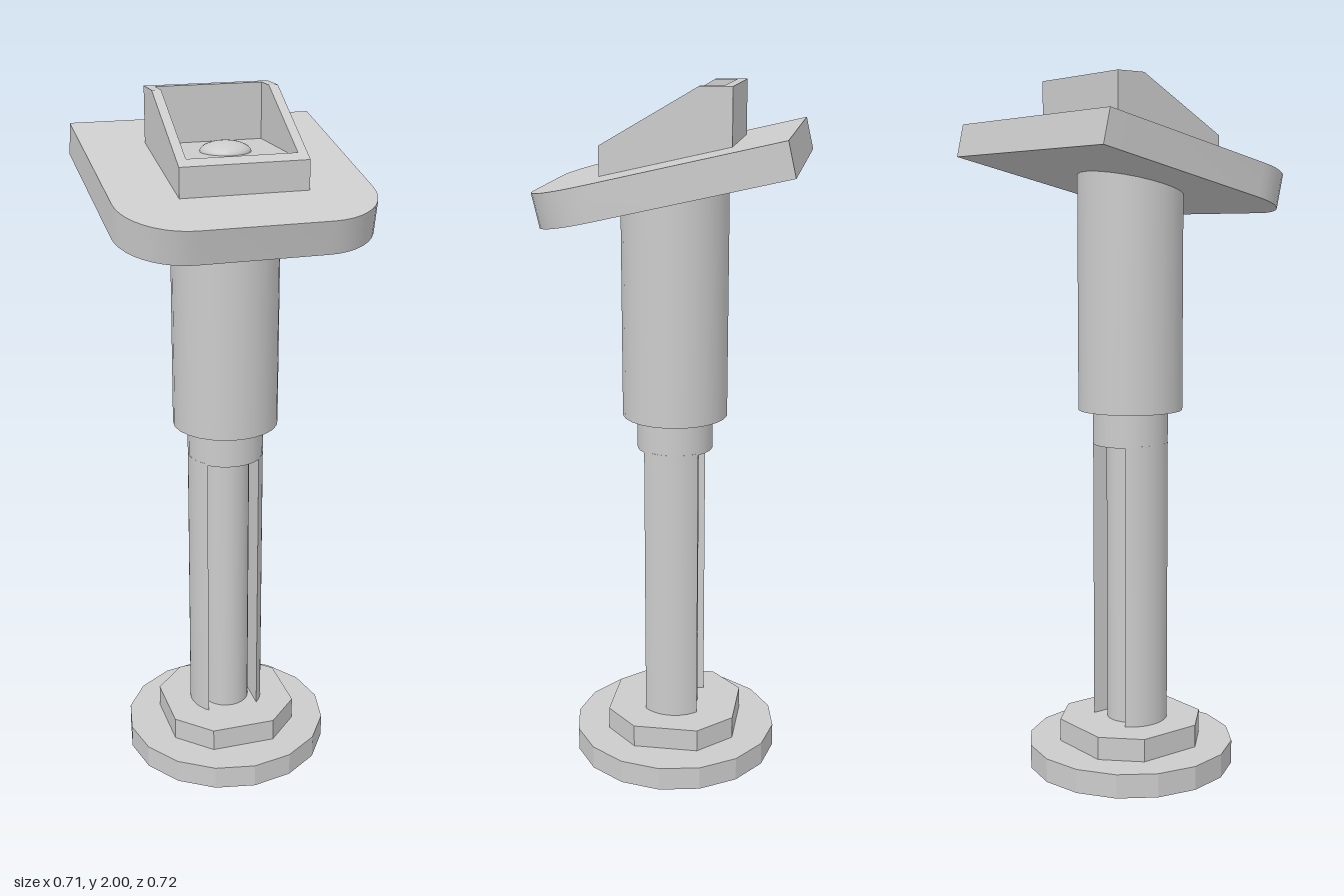
import * as THREE from 'three';
import { toCreasedNormals } from 'three/addons/utils/BufferGeometryUtils.js';

const material = new THREE.MeshStandardMaterial({ color: 0xcccccc });

export function createModel() {
  const model = new THREE.Group();

  const add = (name, geometry, x = 0, y = 0, z = 0) => {
    const mesh = new THREE.Mesh(geometry, material);
    mesh.name = name;
    mesh.position.set(x, y, z);
    model.add(mesh);
    return mesh;
  };
  const cylinder = (name, radius, y0, y1, sides = 24) =>
    add(name, new THREE.CylinderGeometry(radius, radius, y1 - y0, sides), 0, (y0 + y1) / 2);
  // Extrudes a plan outline (x, z) upwards from y = 0 to the given height
  const slab = (shape, height, curveSegments = 5) => {
    const g = new THREE.ExtrudeGeometry(shape, { depth: height, bevelEnabled: false, curveSegments });
    return toCreasedNormals(g.rotateX(Math.PI / 2).translate(0, height, 0), 0.5);
  };

  // Foot disc with flat facets
  const foot = new THREE.CylinderGeometry(0.305, 0.305, 0.07, 16).toNonIndexed();
  foot.computeVertexNormals();
  add('foot', foot, 0, 0.035);

  // Square nut with chamfered corners
  const h = 0.19, c = 0.095;
  const nut = new THREE.Shape([
    [h, -c], [h, c], [c, h], [-c, h], [-h, c], [-h, -c], [-c, -h], [c, -h],
  ].map(([x, z]) => new THREE.Vector2(x, z)));
  add('footNut', slab(nut, 0.067), 0, 0.07);

  // Inner rod, flanked by two segment-shaped guide rails
  cylinder('innerRod', 0.07, 0.13, 1.0);
  const a = Math.acos(0.077 / 0.11);
  for (const side of [0, Math.PI]) {
    const rail = new THREE.Shape();
    rail.absarc(0, 0, 0.11, side - a, side + a, false);
    rail.closePath();
    add(side ? 'rightRail' : 'leftRail', slab(rail, 0.835, 8), 0, 0.135);
  }

  // Collar and thick upper sleeve
  cylinder('collar', 0.11, 0.965, 1.08);
  cylinder('sleeve', 0.152, 1.065, 1.757);

  // Tilted plate, rounded at the two front corners
  const w = 0.356, r = 0.178;
  const outline = new THREE.Shape();
  outline.moveTo(-w, -w);
  outline.lineTo(w, -w);
  outline.absarc(w - r, w - r, r, 0, Math.PI / 2, false);
  outline.absarc(-w + r, w - r, r, Math.PI / 2, Math.PI, false);
  outline.closePath();
  const plate = add('tiltedPlate', slab(outline, 0.095).translate(0, -0.0475, 0), 0, 1.757);
  plate.rotation.x = THREE.MathUtils.degToRad(13);

  // Open tray: sloping side walls, low front wall, high back wall and floor
  const out = 0.178, inn = 0.152, bottom = 1.76;
  const slopeTop = (z) => 1.845 + (out - z) * (0.155 / 0.268);
  const trayPiece = (name, points, x0, x1) => {
    const shape = new THREE.Shape(points.map(([z, y]) => new THREE.Vector2(z, y)));
    const g = new THREE.ExtrudeGeometry(shape, { depth: x1 - x0, bevelEnabled: false });
    add(name, g.rotateY(-Math.PI / 2).translate(x1, 0, 0));
  };
  const sidePoints = [[-out, bottom], [out, bottom], [out, 1.845], [-0.09, 2], [-out, 2]];
  trayPiece('trayLeftWall', sidePoints, inn, out);
  trayPiece('trayRightWall', sidePoints, -out, -inn);
  trayPiece('trayFrontWall', [[inn, bottom], [out, bottom], [out, 1.845], [inn, slopeTop(inn)]], -inn, inn);
  trayPiece('trayBackWall', [[-out, bottom], [-inn, bottom], [-inn, 2], [-out, 2]], -inn, inn);
  trayPiece('trayFloor', [[-inn, bottom], [inn, bottom], [inn, 1.845], [-inn, 1.845]], -inn, inn);

  // Shallow dome on the tray floor
  const dome = new THREE.SphereGeometry(0.07, 20, 8, 0, Math.PI * 2, 0, Math.PI / 2);
  add('dome', dome.scale(1, 0.4, 1), 0, 1.845);

  return model;
}
